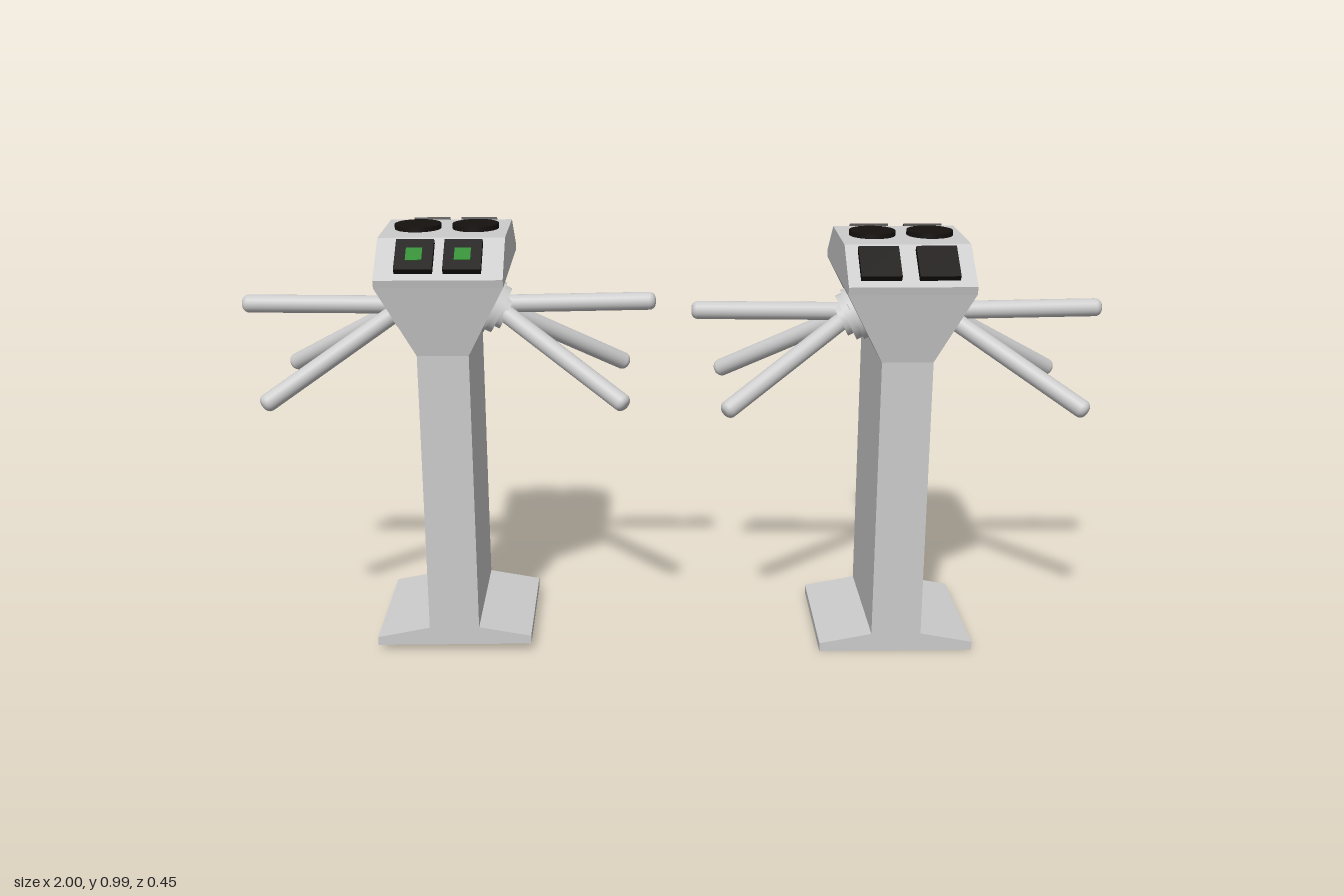
import * as THREE from 'three';

const grey = new THREE.MeshStandardMaterial({ color: 0xcccccc });
const facetGrey = new THREE.MeshStandardMaterial({ color: 0xcccccc, flatShading: true });
const black = new THREE.MeshStandardMaterial({ color: 0x15110f });
const green = new THREE.MeshStandardMaterial({ color: 0x2a8a2a });

function addMesh(parent, name, geometry, material) {
  const mesh = new THREE.Mesh(geometry, material);
  mesh.name = name;
  parent.add(mesh);
  return mesh;
}

// Stack of rectangles [y, half width, half depth] joined into a closed solid
function loftRectangles(sections) {
  const pos = [], index = [];
  for (const [y, hx, hz] of sections) pos.push(-hx, y, hz, hx, y, hz, hx, y, -hz, -hx, y, -hz);
  for (let s = 0; s < sections.length - 1; s++) {
    for (let i = 0; i < 4; i++) {
      const a = s * 4 + i, b = s * 4 + (i + 1) % 4;
      index.push(a, b, b + 4, a, b + 4, a + 4);
    }
  }
  const t = (sections.length - 1) * 4;
  index.push(0, 2, 1, 0, 3, 2, t, t + 1, t + 2, t, t + 2, t + 3);
  const geo = new THREE.BufferGeometry();
  geo.setAttribute('position', new THREE.Float32BufferAttribute(pos, 3));
  geo.setIndex(index);
  const flat = geo.toNonIndexed();
  flat.computeVertexNormals();
  return flat;
}

const UP = new THREE.Vector3(0, 1, 0);

// Rod with a rounded tip, from one point to another
function addArm(parent, from, to) {
  const dir = to.clone().sub(from), length = dir.length(), r = 0.021, fillet = 0.015;
  const profile = [new THREE.Vector2(0, 0), new THREE.Vector2(r, 0)];
  for (let i = 0; i <= 5; i++) {
    const a = (i / 5) * Math.PI / 2;
    profile.push(new THREE.Vector2(r - fillet + fillet * Math.cos(a), length - fillet + fillet * Math.sin(a)));
  }
  profile.push(new THREE.Vector2(0, length));
  const arm = addMesh(parent, 'arm', new THREE.LatheGeometry(profile, 20), grey);
  arm.position.copy(from);
  arm.quaternion.setFromUnitVectors(UP, dir.normalize());
}

// Hub on the sloping cheek with three arms; side is +1 or -1 along x
function addTripod(parent, side, hubZ, horizontalZ, endZs) {
  const tripod = new THREE.Group();
  tripod.name = side > 0 ? 'leftTripod' : 'rightTripod';
  parent.add(tripod);

  const hub = new THREE.Group();
  hub.name = 'hub';
  hub.position.set(side * 0.094, 0.777, hubZ);
  hub.quaternion.setFromUnitVectors(UP, new THREE.Vector3(side * 0.162, -0.084, 0).normalize());
  tripod.add(hub);
  // [radius, start, end] along the hub axis
  for (const [name, r, y0, y1] of [['hubFlange', 0.064, -0.02, 0.012], ['hubDrum', 0.057, 0.01, 0.028], ['hubCap', 0.04, 0.026, 0.042]]) {
    addMesh(hub, name, new THREE.CylinderGeometry(r, r, y1 - y0, 32), grey).position.y = (y0 + y1) / 2;
  }

  const root = new THREE.Vector3(side * 0.1, 0.78, hubZ);
  addArm(tripod, root, new THREE.Vector3(side * 0.479, 0.785, horizontalZ));
  for (const z of endZs) addArm(tripod, root, new THREE.Vector3(side * 0.41, 0.588, z));
}

// Pair of panels on one sloped face of the head
function addPanels(parent, back, xs, lit) {
  const turn = new THREE.Group();
  turn.name = back ? 'backPanels' : 'frontPanels';
  turn.rotation.y = back ? Math.PI : 0;
  parent.add(turn);
  const slope = new THREE.Group();
  slope.name = 'panelSlope';
  slope.position.set(0, 0.925, 0.162);
  slope.rotation.x = -Math.atan2(0.102, 0.075);
  turn.add(slope);
  for (const x of xs) {
    const px = back ? -x : x;
    addMesh(slope, 'panel', new THREE.BoxGeometry(lit ? 0.084 : 0.09, 0.09, 0.018), black).position.set(px, 0, 0.003);
    if (lit) addMesh(slope, 'indicatorLight', new THREE.BoxGeometry(0.036, 0.036, 0.004), green).position.set(px, 0, 0.012);
  }
}

function createTurnstile(name, frontXs, backXs, lit) {
  const unit = new THREE.Group();
  unit.name = name;
  // Foot, column and flared head
  addMesh(unit, 'pedestal', loftRectangles([
    [0, 0.18, 0.176], [0.02, 0.18, 0.176], [0.043, 0.058, 0.176], [0.705, 0.058, 0.176],
    [0.867, 0.142, 0.208], [0.885, 0.142, 0.212], [0.96, 0.142, 0.11],
  ]), facetGrey);
  // Round readers on the top
  for (const x of [-0.065, 0.067]) {
    addMesh(unit, 'topReader', new THREE.CylinderGeometry(0.053, 0.053, 0.016, 40), black).position.set(x, 0.963, -0.004);
  }
  addPanels(unit, false, frontXs, lit);
  addPanels(unit, true, backXs, lit);
  addTripod(unit, 1, -0.01, -0.012, [-0.187, 0.186]);
  addTripod(unit, -1, -0.006, -0.005, [-0.199, 0.17]);
  return unit;
}

export function createModel() {
  const model = new THREE.Group();
  model.name = 'turnstilePair';
  const rightUnit = createTurnstile('rightTurnstile', [-0.055, 0.052], [-0.047, 0.063], true);
  rightUnit.position.set(-0.52, 0.015, -0.013);
  const leftUnit = createTurnstile('leftTurnstile', [-0.069, 0.06], [-0.055, 0.072], false);
  leftUnit.position.set(0.52, 0, 0.012);
  model.add(rightUnit, leftUnit);
  return model;
}
